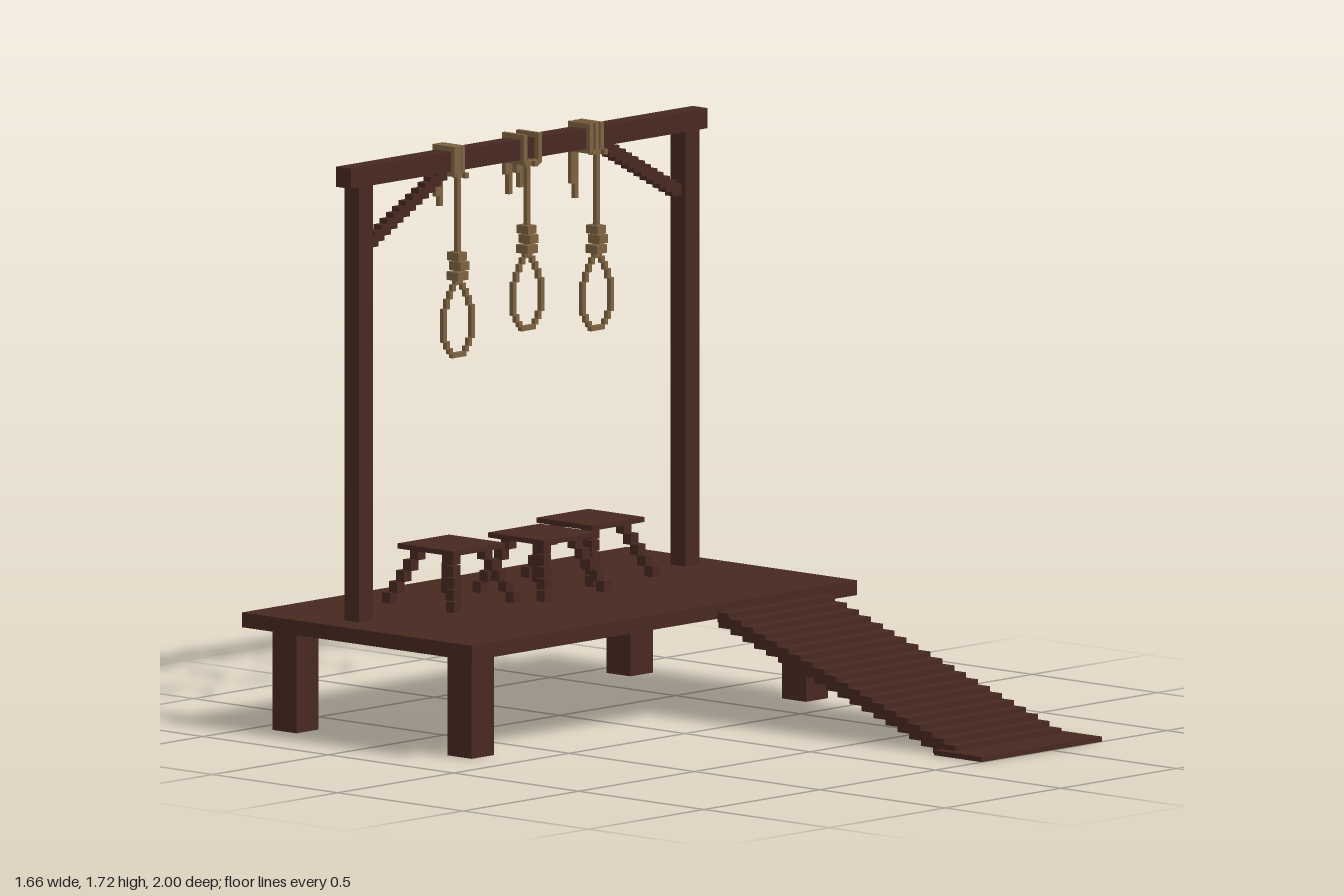
import * as THREE from 'three';

const wood = new THREE.MeshStandardMaterial({ color: 0x472920, side: THREE.DoubleSide });
wood.name = 'darkWood';
const rope = new THREE.MeshStandardMaterial({ color: 0x7d6240 });
rope.name = 'rope';

const U = 0.0147; // small block unit used for all stepped parts

// Box given by its min and max corners
function box(parent, name, mat, x0, x1, y0, y1, z0, z1) {
  const mesh = new THREE.Mesh(new THREE.BoxGeometry(x1 - x0, y1 - y0, z1 - z0), mat);
  mesh.position.set((x0 + x1) / 2, (y0 + y1) / 2, (z0 + z1) / 2);
  mesh.name = name;
  parent.add(mesh);
  return mesh;
}

// Removes the given sides of a box (2 = top, 3 = bottom)
function openSides(mesh, sides) {
  const index = Array.from(mesh.geometry.index.array);
  mesh.geometry.setIndex(index.filter((v, i) => !sides.includes(Math.floor(i / 6))));
  mesh.geometry.clearGroups();
}

function group(parent, name) {
  const g = new THREE.Group();
  g.name = name;
  parent.add(g);
  return g;
}

// Square seat with four stepped, splayed legs
function addStool(parent, cx, cz) {
  const stool = group(parent, 'stool');
  const h = 0.112;
  box(stool, 'stoolSeat', wood, cx - h, cx + h, 0.51, 0.525, cz - h, cz + h);
  const steps = 5, dy = 0.161 / steps;
  for (const sx of [-1, 1]) for (const sz of [-1, 1]) {
    const leg = group(stool, 'stoolLeg');
    for (let i = 0; i < steps; i++) {
      const d = 0.128 - i * U, r = 0.016;
      const x = cx + sx * d, z = cz + sz * d, y = 0.349 + i * dy;
      box(leg, 'legBlock', wood, x - r, x + r, y, y + dy, z - r, z + r);
    }
  }
}

// Rope ring, knot, hanging line and the turns round the beam
function addRope(parent, cx, yb, straps, tails) {
  const g = group(parent, 'hangingRope');
  const z0 = -0.638, z1 = z0 + U;
  const bar = (name, x0, x1, y0, y1) => box(g, name, rope, x0, x1, y0, y1, z0, z1);
  // Stepped ring
  bar('ringBottom', cx - 0.03, cx + 0.03, yb, yb + U);
  const sides = [
    [0.027, 0.042, 0.013, 0.030], [0.040, 0.055, 0.028, 0.052], [0.053, 0.068, 0.050, 0.128],
    [0.053, 0.068, 0.126, 0.150], [0.040, 0.055, 0.148, 0.178], [0.027, 0.042, 0.176, 0.200],
    [0.014, 0.029, 0.198, 0.218], [0.001, 0.016, 0.215, 0.235],
  ];
  for (const [a, b, y0, y1] of sides) {
    bar('ringSide', cx + a, cx + b, yb + y0, yb + y1);
    bar('ringSide', cx - b, cx - a, yb + y0, yb + y1);
  }
  // Wrapped knot
  [[-0.024, 0.02], [-0.014, 0.024], [-0.022, 0.014]].forEach(([a, b], i) => {
    const y = yb + 0.23 + i * 0.029;
    box(g, 'knotTurn', rope, cx + a, cx + b, y, y + 0.025, z0 - 0.014, -0.606);
  });
  bar('ropeLine', cx - U / 2, cx + U / 2, yb + 0.22, 1.64);
  // Turns round the beam
  for (const x of straps) {
    const a = x - U / 2, b = x + U / 2;
    box(g, 'turnFront', rope, a, b, 1.626, 1.715, -0.622, -0.607);
    box(g, 'turnTop', rope, a, b, 1.70, 1.715, -0.681, -0.622);
    box(g, 'turnBack', rope, a, b, 1.626, 1.715, -0.696, -0.681);
    box(g, 'turnUnder', rope, a, b, 1.626, 1.64, -0.681, -0.622);
  }
  const lo = Math.min(...straps, cx), hi = Math.max(...straps, cx);
  box(g, 'crossTurn', rope, lo, hi, 1.622, 1.636, -0.622, -0.605);
  box(g, 'frontKnot', rope, cx - U / 2, cx + U / 2, 1.62, 1.636, -0.607, -0.592);
  // Loose tails behind the beam
  for (const [x, y] of tails) box(g, 'tail', rope, x - U / 2, x + U / 2, y, 1.63, -0.696, -0.681);
}

export function createModel() {
  const model = new THREE.Group();
  model.name = 'woodenStage';

  // Platform, hollow from below, on four legs
  const platform = box(model, 'platform', wood, -0.832, 0.832, 0.305, 0.349, -1, -0.082);
  openSides(platform, [3]);
  for (const s of [-1, 1]) for (const z of [-0.188, -0.888]) {
    const x = s * 0.722, r = 0.048;
    const leg = box(model, 'platformLeg', wood, x - r, x + r, 0, 0.348, z - r, z + r);
    openSides(leg, [2, 3]);
  }

  // Frame: posts, beam and stepped corner braces
  box(model, 'beam', wood, -0.77, 0.77, 1.64, 1.70, -0.681, -0.622);
  for (const s of [-1, 1]) {
    const x = s * 0.705;
    openSides(box(model, 'post', wood, x - 0.03, x + 0.03, 0.349, 1.64, -0.681, -0.622), [2, 3]);
    const brace = group(model, 'brace');
    const n = 12;
    for (let i = 0; i < n; i++) {
      const cx = s * (0.657 - i * 0.0272), y = 1.452 + i * U;
      box(brace, 'braceBlock', wood, cx - 0.022, cx + 0.022, y, Math.min(y + 0.032, 1.64), -0.667, -0.637);
    }
  }

  // Stepped ramp with a foot board
  const ramp = group(model, 'ramp');
  box(ramp, 'footBoard', wood, 0.2, 0.72, 0, 0.015, 0.81, 1);
  for (let i = 0; i < 20; i++) {
    const z = 0.868 - i * 0.0476, y = i * 0.0155;
    box(ramp, 'rampStep', wood, 0.23, 0.688, y, y + 0.03, Math.max(z - 0.09, -0.083), z);
  }

  // Stools
  addStool(model, -0.277, -0.677);
  addStool(model, 0.053, -0.62);
  addStool(model, 0.352, -0.703);

  // Ropes
  addRope(model, -0.3, 1.085, [-0.331, -0.316, -0.3], [[-0.331, 1.56], [-0.316, 1.53]]);
  addRope(model, 0, 1.13, [-0.031, 0.031], [[-0.031, 1.59], [-0.016, 1.53], [0.016, 1.59], [0.031, 1.545]]);
  addRope(model, 0.3, 1.095, [0.255, 0.278, 0.3], [[0.255, 1.53], [0.27, 1.485]]);

  return model;
}
